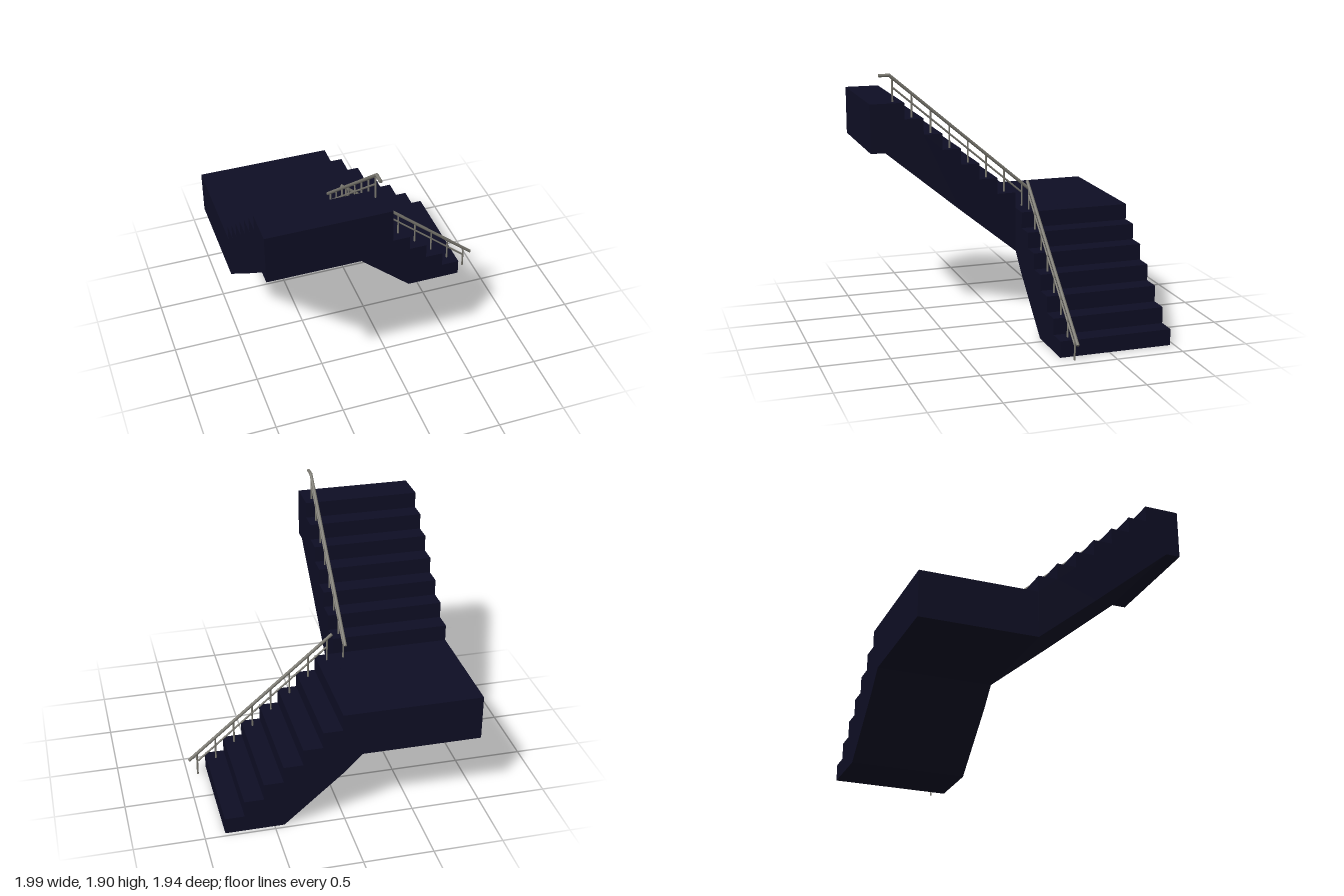
import * as THREE from 'three';

const navy = new THREE.MeshStandardMaterial({ color: 0x0e0e24 });
navy.name = 'dark navy';
const metal = new THREE.MeshStandardMaterial({ color: 0x7a7870 });
metal.name = 'grey metal';

const RISE = 0.1207, RUN = 0.1405;

// Side profile extruded into a solid flight
function flight(name, points, depth) {
  const shape = new THREE.Shape(points.map(([x, y]) => new THREE.Vector2(x, y)));
  const geometry = new THREE.ExtrudeGeometry(shape, { depth, bevelEnabled: false });
  const mesh = new THREE.Mesh(geometry, navy);
  mesh.name = name;
  return mesh;
}

// Round bar between two points in the plane z = 0
function bar(name, [x1, y1], [x2, y2], radius) {
  const dx = x2 - x1, dy = y2 - y1;
  const mesh = new THREE.Mesh(new THREE.CylinderGeometry(radius, radius, Math.hypot(dx, dy), 12), metal);
  mesh.position.set((x1 + x2) / 2, (y1 + y2) / 2, 0);
  mesh.rotation.z = Math.atan2(dy, dx) - Math.PI / 2;
  mesh.name = name;
  return mesh;
}

// Handrail, lower rail and eight posts, one post per step
function railing(name, rail, mid, firstPost, firstBase, riseStep) {
  const group = new THREE.Group();
  group.name = name;
  const [a, b] = rail;
  for (let i = 0; i < rail.length - 1; i++) group.add(bar('handrail', rail[i], rail[i + 1], 0.012));
  if (rail.length > 2) {
    const joint = new THREE.Mesh(new THREE.SphereGeometry(0.012, 12, 8), metal);
    joint.position.set(b[0], b[1], 0);
    joint.name = 'handrailBend';
    group.add(joint);
  }
  group.add(bar('midRail', mid[0], mid[1], 0.007));
  for (let i = 0; i < 8; i++) {
    const x = firstPost + i * 0.141;
    const top = a[1] + (x - a[0]) * (b[1] - a[1]) / (b[0] - a[0]);
    group.add(bar('post', [x, firstBase + i * riseStep], [x, top], 0.007));
  }
  return group;
}

export function createModel() {
  const model = new THREE.Group();
  model.name = 'staircase';

  // Corner landing
  const landing = new THREE.Mesh(new THREE.BoxGeometry(0.87, 0.335, 0.84), navy);
  landing.position.set(-0.565, 0.6775, -0.55);
  landing.name = 'landing';
  model.add(landing);

  // Lower flight, stepping down towards +x
  const lower = [[0.43, 0], [0, 0.375], [-0.13, 0.51], [-0.13, 7 * RISE]];
  for (let i = 0; i < 7; i++) {
    const x = 0.01 + i * RUN;
    lower.push([x, (7 - i) * RISE], [x, (6 - i) * RISE]);
  }
  const lowerFlight = flight('lowerFlight', lower, 0.84);
  lowerFlight.position.z = -0.97;
  model.add(lowerFlight);

  // Upper flight, stepping up towards +z, with a flat top
  const upper = [[0.97, 1.33], [0.865, 1.33], [0.3, 0.86], [-0.13, 0.51]];
  for (let i = 0; i < 7; i++) {
    const z = -0.127 + i * RUN;
    upper.push([z, (7 + i) * RISE], [z, (8 + i) * RISE]);
  }
  upper.push([0.97, 14 * RISE]);
  upper.reverse();
  const upperFlight = flight('upperFlight', upper, 0.87);
  upperFlight.rotation.y = -Math.PI / 2;
  upperFlight.position.x = -0.13;
  model.add(upperFlight);

  // Railings along the inner edges
  const lowerRailing = railing('lowerRailing', [[-0.1, 1.055], [0.985, 0.127]],
    [[-0.065, 0.957], [0.925, 0.108]], -0.063, 7 * RISE, -RISE);
  lowerRailing.position.z = -0.21;
  const upperRailing = railing('upperRailing', [[-0.258, 0.97], [0.81, 1.885], [0.888, 1.885]],
    [[-0.197, 0.95], [0.79, 1.798]], -0.197, 7 * RISE, RISE);
  upperRailing.rotation.y = -Math.PI / 2;
  upperRailing.position.x = -0.19;
  model.add(lowerRailing, upperRailing);

  return model;
}
